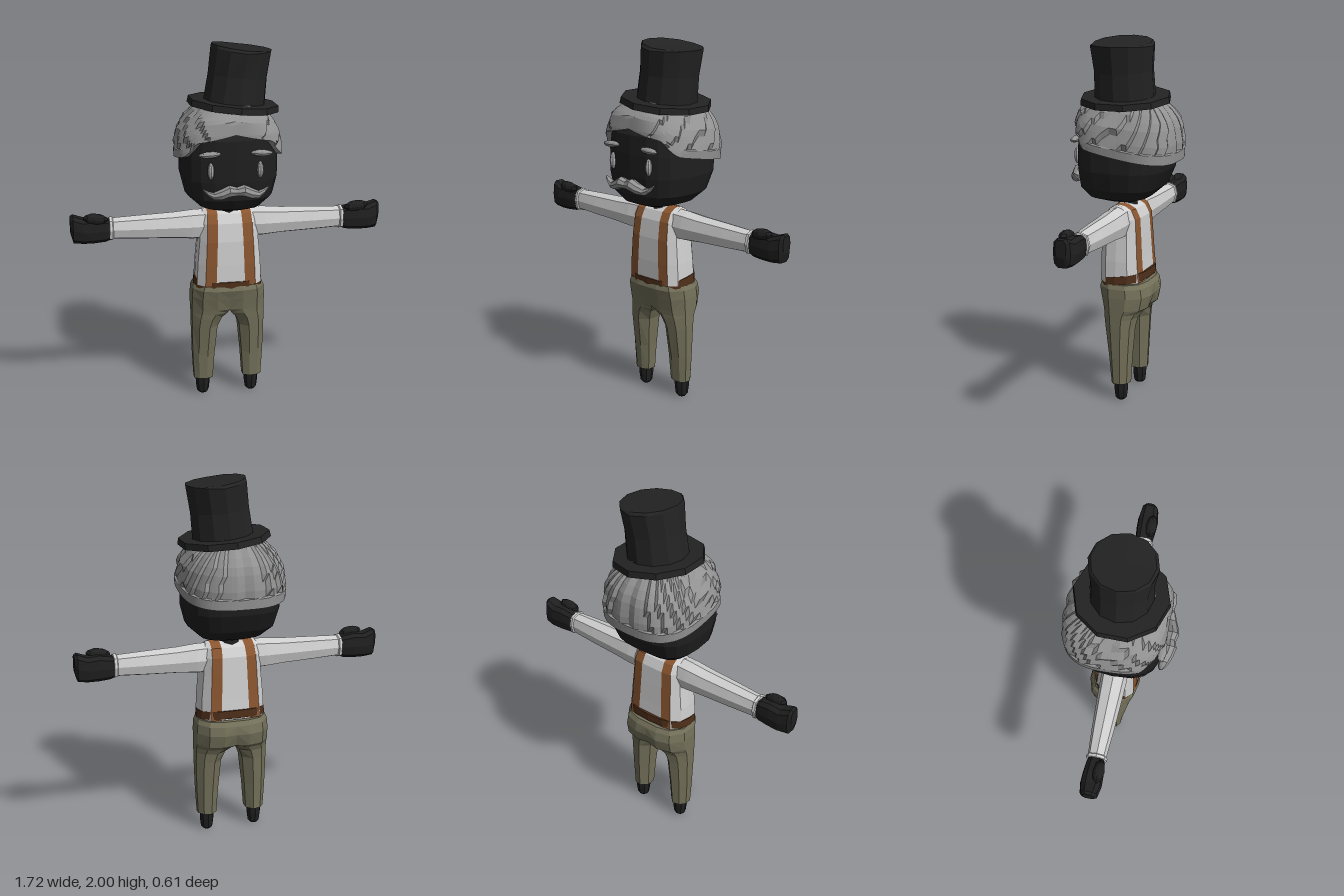
import * as THREE from 'three';

const V = (x, y, z) => new THREE.Vector3(x, y, z);
const paintOf = (name, color) => Object.assign(new THREE.MeshStandardMaterial({ color }), { name });

// Skins a list of equal-length rings with flat facets; paint(column) picks material 0 or 1.
function loft(rings, paint = () => 0) {
  const tris = [];
  const n = rings[0].length;
  for (let i = 0; i < rings.length - 1; i++) {
    for (let j = 0; j < n; j++) {
      const k = (j + 1) % n, a = rings[i], b = rings[i + 1];
      tris.push([a[j], a[k], b[k], paint(j)], [a[j], b[k], b[j], paint(j)]);
    }
  }
  // End caps
  [rings[0], rings[rings.length - 1]].forEach((r, e) => {
    const c = V(0, 0, 0);
    r.forEach(p => c.addScaledVector(p, 1 / n));
    for (let j = 0; j < n; j++) {
      const k = (j + 1) % n;
      tris.push(e ? [r[j], r[k], c, 0] : [r[k], r[j], c, 0]);
    }
  });
  // Face outwards whichever way the rings run
  let volume = 0;
  for (const [a, b, c] of tris) volume += a.dot(b.clone().cross(c));
  const points = [], g = new THREE.BufferGeometry();
  for (const m of [0, 1]) {
    const start = points.length;
    for (const t of tris) {
      if (t[3] === m) points.push(...(volume < 0 ? [t[0], t[2], t[1]] : [t[0], t[1], t[2]]));
    }
    if (points.length > start) g.addGroup(start, points.length - start, m);
  }
  g.setFromPoints(points);
  g.computeVertexNormals();
  return g;
}

const pw = (v, e) => Math.sign(v) * Math.abs(v) ** e;
const loop = (n, f) => Array.from({ length: n }, (_, i) => f((i / n) * Math.PI * 2));

// Reads a table of rows at a key in column 0, linearly
function sample(rows, key) {
  let i = 0;
  while (i < rows.length - 2 && rows[i + 1][0] < key) i++;
  const t = THREE.MathUtils.clamp((key - rows[i][0]) / (rows[i + 1][0] - rows[i][0]), 0, 1);
  return rows[i].map((v, c) => v + (rows[i + 1][c] - v) * t);
}

export function createModel() {
  const model = new THREE.Group();
  const skin = paintOf('skin', 0x1f1f1f), felt = paintOf('hat felt', 0x232323);
  const grey = paintOf('grey hair', 0x929292), light = paintOf('eye grey', 0xa8a8a8);
  const cotton = paintOf('shirt', 0xcfcfcf), strap = paintOf('braces', 0x8a5630);
  const leather = paintOf('belt', 0x4f2f1a), cloth = paintOf('trousers', 0x74715a);

  const add = (name, geometry, material) => {
    const m = new THREE.Mesh(geometry, material);
    m.name = name;
    model.add(m);
    return m;
  };
  const ball = (name, mat, pos, scale, tilt = 0) => {
    const g = new THREE.SphereGeometry(1, 8, 6).scale(...scale).toNonIndexed();
    g.computeVertexNormals();
    const m = add(name, g, mat);
    m.position.set(...pos);
    m.rotation.z = tilt;
  };

  // Head: y, half width, front depth, back depth
  const headRows = [[1.115, .09, .13, .06], [1.14, .17, .2, .13], [1.2, .235, .24, .2], [1.3, .26, .25, .245],
    [1.42, .26, .25, .26], [1.52, .245, .243, .245], [1.58, .2, .2, .2], [1.62, .1, .1, .1]];
  add('head', loft(headRows.map(([y, w, f, b]) => loop(20, a => {
    const c = pw(Math.cos(a), .7);
    return V(w * pw(Math.sin(a), .7), y, c * (c > 0 ? f : b));
  }))), skin);
  add('neck', new THREE.CylinderGeometry(.05, .06, .08, 8).translate(0, 1.11, 0), skin);

  // Hair: swept ridged cap with a high hairline at the front and a rolled lower band
  const hairRows = [[1.33, .265, .252, .275], [1.45, .272, .255, .28], [1.55, .255, .255, .265],
    [1.62, .21, .245, .22], [1.69, .13, .17, .15]];
  const hairPoint = (a, t, inset) => {
    const s = pw(Math.sin(a), .7), c = pw(Math.cos(a), .7);
    const brow = c > 0 ? 1 - THREE.MathUtils.smoothstep(Math.abs(s), .7, .95) : 0;
    const edge = THREE.MathUtils.lerp(1.395 + .05 * c, 1.555 - .06 * Math.abs(s), brow);
    const y = edge + (1.69 - edge) * t;
    const [, w, f, b] = sample(hairRows, y);
    const turn = a > Math.PI ? 2 * Math.PI - a : a;
    const phase = turn * 2.6 - 2.6 * t * Math.sin(turn);
    const ridge = t < .16 && !brow ? .016 : .02 * (phase - Math.floor(phase));
    const grow = inset ? -.05 : ridge;
    return V((w + grow) * s, y, ((c > 0 ? f : b) + grow * (c > 0 ? .5 : 1)) * c);
  };
  const hairRings = [loop(84, a => hairPoint(a, 0, true))];
  for (const t of [0, .08, .15, .17, .28, .4, .52, .64, .76, .88, 1]) hairRings.push(loop(84, a => hairPoint(a, t)));
  add('hair', loft(hairRings), grey);

  // Top hat, tipped towards the model's left
  const brimGeo = new THREE.CylinderGeometry(.245, .25, .034, 10).toNonIndexed();
  brimGeo.computeVertexNormals();
  const brim = add('hatBrim', brimGeo, felt);
  brim.position.set(.03, 1.675, 0);
  brim.rotation.z = -.1;
  const crown = [[1.67, .035, .168, .165], [1.83, .055, .16, .16], [1.96, .075, .165, .175], [1.975, .075, .162, .16]];
  add('hatCrown', loft(crown.map(([y, cx, rx, rz], i) => loop(12, a => {
    const dx = rx * Math.sin(a);
    const dy = i < 2 ? -.1 * dx : .025 * Math.max(0, -dx / rx) - (i === 3 ? .015 * Math.max(0, dx / rx) : 0);
    return V(cx + dx, y + dy, rz * Math.cos(a));
  }))), felt);

  // Moustache: x, height, half height, depth, half depth
  const whisker = [[0, 1.258, .024, .268, .03], [.04, 1.263, .033, .272, .036], [.08, 1.245, .03, .265, .034],
    [.12, 1.235, .02, .255, .028], [.15, 1.25, .013, .25, .02], [.175, 1.272, .004, .248, .008]];
  for (const s of [1, -1]) {
    const side = s > 0 ? 'left' : 'right';
    add(side + 'Moustache', loft(whisker.map(([x, y, h, z, d]) =>
      loop(8, a => V(s * x, y + h * Math.sin(a), z + d * Math.cos(a))))), grey);
    ball(side + 'Eye', light, [s * .132, 1.365, .24], [.018, .046, .02]);
    ball(side + 'Eyebrow', grey, [s * .138, 1.455, .245], [.06, .017, .024], s * -.04);
  }

  // Shirt body with the braces as painted columns: y, half width, front, back
  const body = [[.68, .185, .11, -.125], [.8, .18, .11, -.115], [.93, .168, .105, -.107], [1.03, .165, .09, -.1],
    [1.08, .155, .065, -.075], [1.102, .14, .03, -.035], [1.108, .13, 0, 0]];
  add('shirtAndBraces', loft(body.map(([y, w, f, b]) => {
    const k = (y - .68) / .43, inner = .08 - .015 * k, outer = .14 - .02 * k;
    const half = [[inner, f], [outer, f * .93], [w * .97, f * .55], [w, 0], [w * .97, b * .55], [outer, b * .93], [inner, b]];
    const left = half.map(([x, z]) => V(x, y, z));
    const right = half.map(([x, z]) => V(-x, y, z)).reverse();
    return [...left, ...right];
  }), j => ([0, 5, 7, 12].includes(j) ? 1 : 0)), [cotton, strap]);

  // Belt, higher at the back
  add('belt', loft([[.655, .194], [.7, .19]].map(([y, w]) => loop(16, a => {
    const c = pw(Math.cos(a), .75);
    return V(w * pw(Math.sin(a), .75), y + .018 * (1 - c), c * (c > 0 ? .118 : .138));
  }))), leather);

  // Trouser leg: y, inner x, outer x, front, back, inner squareness
  const leg = [[.1, .088, .192, .035, -.07, .5], [.25, .078, .2, .05, -.078, .5], [.42, .062, .204, .075, -.09, .5],
    [.475, .04, .204, .085, -.1, .6], [.505, .012, .204, .09, -.118, .75], [.53, 0, .204, .095, -.15, .9],
    [.6, 0, .204, .11, -.166, .96], [.65, 0, .2, .122, -.156, 1], [.675, 0, .19, .115, -.14, 1]];
  // Arm: x, half height, half depth
  const arm = [[.13, .085, .07], [.2, .083, .072], [.3, .074, .068], [.48, .067, .06], [.63, .06, .05],
    [.635, .067, .058], [.65, .066, .057], [.652, .05, .045]];
  // Hand: x, bottom, top, half depth
  const hand = [[.63, .96, 1.06, .04], [.67, .945, 1.075, .05], [.73, .94, 1.085, .056], [.79, .94, 1.08, .058],
    [.845, .945, 1.1, .048], [.86, 1.0, 1.092, .03]];
  // Foot: y, radius
  const foot = [[0, .022], [.015, .034], [.06, .04], [.13, .042]];

  for (const s of [1, -1]) {
    const side = s > 0 ? 'left' : 'right';
    add(side + 'TrouserLeg', loft(leg.map(([y, i, o, f, b, q]) => {
      const at = u => i + (o - i) * u;
      return [[0, f * q], [.35, f], [.75, f * .85], [1, f * .3], [1, b * .4], [.75, b * .85], [.35, b], [0, b * q]]
        .map(([u, z]) => V(s * at(u), y, z));
    })), cloth);
    add(side + 'Foot', loft(foot.map(([y, r]) =>
      loop(8, a => V(s * .14 + r * Math.sin(a), y, -.017 + r * Math.cos(a))))), skin);
    add(side + 'Sleeve', loft(arm.map(([x, h, d]) =>
      loop(8, a => V(s * x, 1.014 + h * pw(Math.sin(a), .8), d * pw(Math.cos(a), .8))))), cotton);
    add(side + 'Hand', loft(hand.map(([x, lo, hi, d]) => loop(10, a =>
      V(s * x, (lo + hi) / 2 + (hi - lo) / 2 * pw(Math.sin(a), .65), d * pw(Math.cos(a), .65))))), skin);
    ball(side + 'Thumb', skin, [s * .725, 1.078, .03], [.068, .031, .032], s * .12);
  }
  return model;
}
